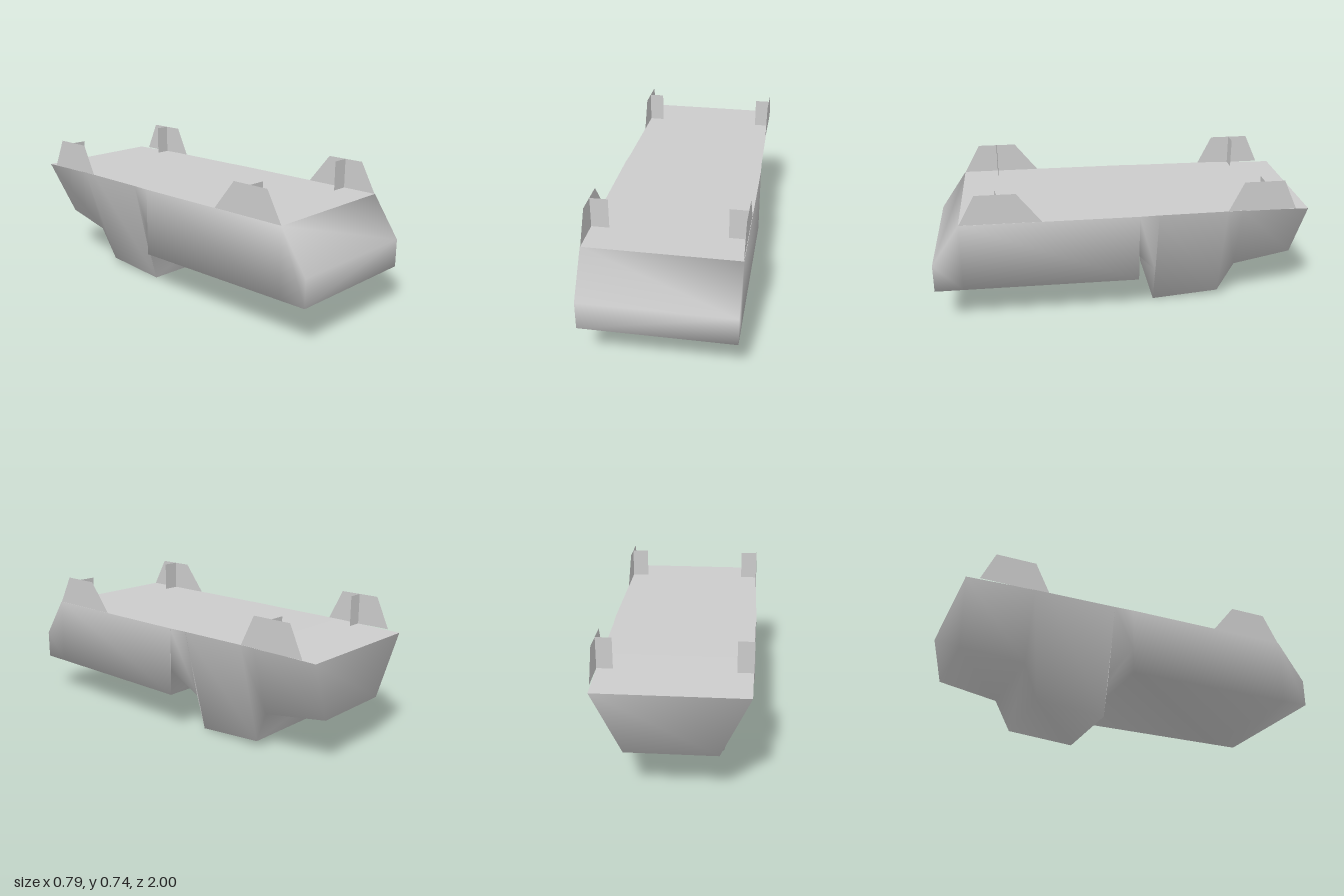
import * as THREE from 'three';
import { mergeVertices } from 'three/addons/utils/BufferGeometryUtils.js';

const material = new THREE.MeshStandardMaterial({ color: 0xcccccc, side: THREE.DoubleSide });
material.name = 'plain grey';

// Cross-sections from front to back: [zTop, yTop, halfTop, zBottom, yBottom, halfBottom]
const sections = [
  [1, 0.36, 0.393, 1, 0.21, 0.393],
  [0.85, 0.58, 0.393, 0.85, 0.21, 0.393],
  [-0.085, 0.58, 0.392, -0.085, 0.21, 0.393],
  [-0.085, 0.58, 0.392, -0.085, 0.35, 0.39],
  [-0.19, 0.58, 0.387, -0.19, 0.21, 0.3],
  [-0.19, 0.58, 0.387, -0.19, 0, 0.24],
  [-0.56, 0.58, 0.381, -0.56, 0.03, 0.24],
  [-0.64, 0.58, 0.38, -0.64, 0.21, 0.27],
  [-1, 0.572, 0.373, -0.97, 0.25, 0.228],
];

function sectionGeometry(faces) {
  const points = [];
  for (const [zt, yt, wt, zb, yb, wb] of sections) {
    points.push(wt, yt, zt, wb, yb, zb, -wb, yb, zb, -wt, yt, zt);
  }
  const index = [];
  for (const [a, b, c, d] of faces) index.push(a, b, c, a, c, d);
  let g = new THREE.BufferGeometry();
  g.setAttribute('position', new THREE.Float32BufferAttribute(points, 3));
  g.setIndex(index);
  g = mergeVertices(g);
  g.computeVertexNormals();
  return g;
}

function addMesh(parent, name, geometry) {
  const mesh = new THREE.Mesh(geometry, material);
  mesh.name = name;
  parent.add(mesh);
  return mesh;
}

export function createModel() {
  const group = new THREE.Group();
  group.name = 'hull';
  const last = sections.length - 1;

  // Smooth shell: sides, underside, nose and tail
  const shell = [[0, 3, 2, 1], [0, 4, 7, 3]];
  const deck = [];
  for (let i = 0; i < last; i++) {
    const a = i * 4, b = a + 4;
    for (let k = 0; k < 3; k++) shell.push([a + k, a + k + 1, b + k + 1, b + k]);
    if (i > 0) deck.push([a, b, b + 3, a + 3]);
  }
  const e = last * 4;
  shell.push([e, e + 1, e + 2, e + 3]);
  addMesh(group, 'shell', sectionGeometry(shell));

  // Flat top
  addMesh(group, 'deck', sectionGeometry(deck));

  // Corner brackets: upright side plate with a small cross plate inside
  const brackets = [
    { name: 'front', base: [0.85, 0.42], top: [0.76, 0.55], x: 0.391 },
    { name: 'rear', base: [-0.56, -0.93], top: [-0.64, -0.855], x: 0.379 },
  ];
  for (const { name, base, top, x } of brackets) {
    const outline = new THREE.Shape([
      new THREE.Vector2(-base[0], 0.577), new THREE.Vector2(-base[1], 0.577),
      new THREE.Vector2(-top[1], 0.74), new THREE.Vector2(-top[0], 0.74),
    ]);
    for (const side of [1, -1]) {
      const bracket = new THREE.Group();
      bracket.name = name + (side > 0 ? 'Left' : 'Right') + 'Bracket';
      const plate = addMesh(bracket, 'sidePlate', new THREE.ShapeGeometry(outline));
      plate.rotation.y = Math.PI / 2;
      plate.position.x = side * x;
      const cross = addMesh(bracket, 'crossPlate', new THREE.PlaneGeometry(x - 0.298, 0.163));
      cross.position.set(side * (x + 0.298) / 2, 0.6585, (top[0] + top[1]) / 2);
      group.add(bracket);
    }
  }
  return group;
}
